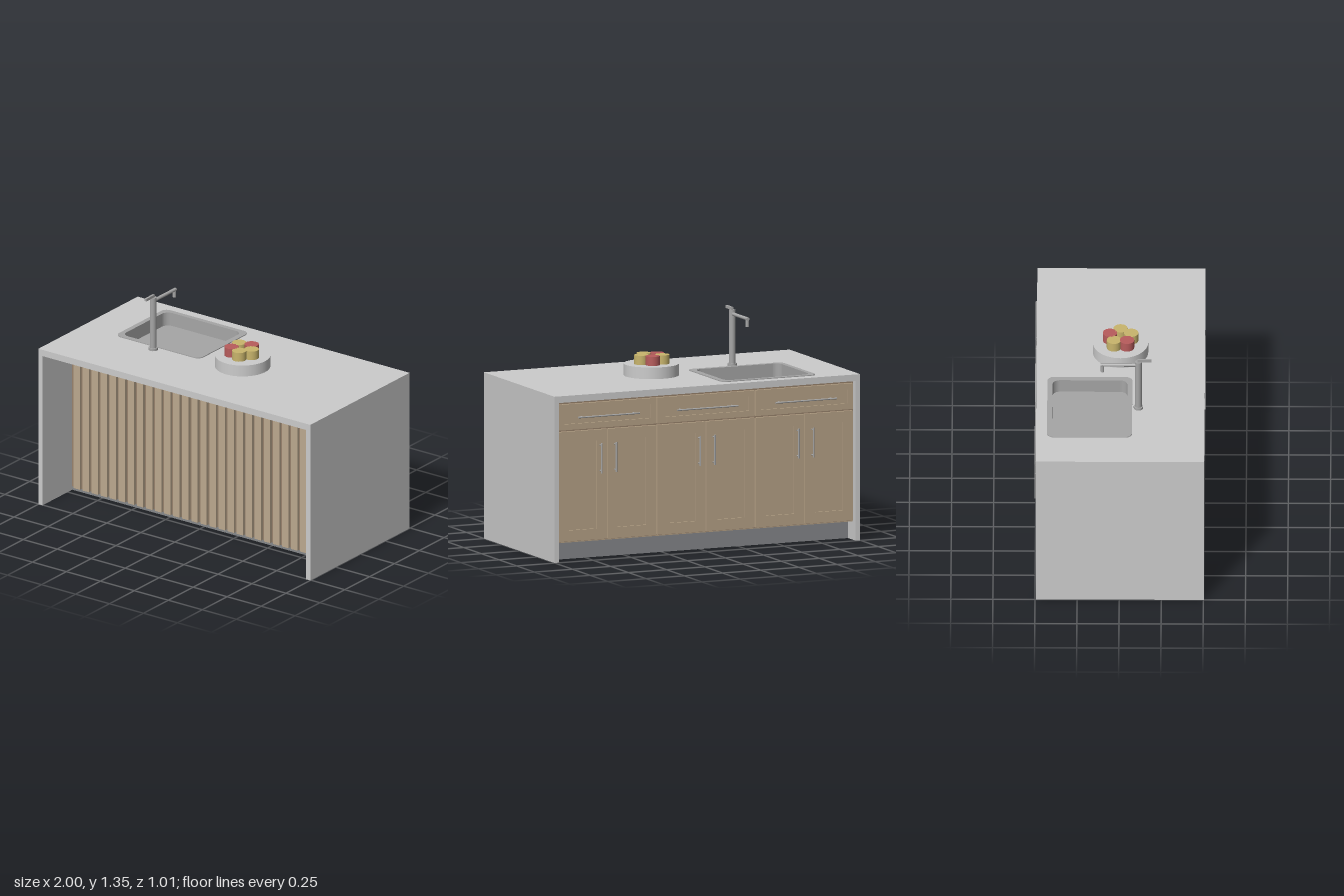
import * as THREE from 'three';

const mat = (color) => new THREE.MeshStandardMaterial({ color });
const stone = mat(0xcccccc), steel = mat(0xa6a6a6), plinthGrey = mat(0x85878a);
const slatWood = mat(0xbca98f), backWood = mat(0x98826c), doorWood = mat(0xb5a186);
const red = mat(0xb85c5c), yellow = mat(0xc9b56c);

function add(parent, name, geometry, material, x = 0, y = 0, z = 0) {
  const mesh = new THREE.Mesh(geometry, material);
  mesh.name = name;
  mesh.position.set(x, y, z);
  parent.add(mesh);
  return mesh;
}

// Box given by its lower and upper limits on each axis
function slab(parent, name, material, x0, x1, y0, y1, z0, z1) {
  return add(parent, name, new THREE.BoxGeometry(x1 - x0, y1 - y0, z1 - z0), material,
    (x0 + x1) / 2, (y0 + y1) / 2, (z0 + z1) / 2);
}

// Cylinder between two points
function rod(parent, name, a, b, radius, material, sides = 24) {
  const from = new THREE.Vector3(...a), to = new THREE.Vector3(...b);
  const dir = to.clone().sub(from);
  const mesh = add(parent, name, new THREE.CylinderGeometry(radius, radius, dir.length(), sides), material);
  mesh.position.copy(from).add(to).multiplyScalar(0.5);
  mesh.quaternion.setFromUnitVectors(new THREE.Vector3(0, 1, 0), dir.normalize());
  return mesh;
}

// Rectangle outline with rounded corners
function outline(x0, x1, y0, y1, r = 0, PathType = THREE.Shape) {
  const p = new PathType();
  if (!r) {
    p.moveTo(x0, y0).lineTo(x1, y0).lineTo(x1, y1).lineTo(x0, y1);
  } else {
    p.absarc(x1 - r, y0 + r, r, -Math.PI / 2, 0);
    p.absarc(x1 - r, y1 - r, r, 0, Math.PI / 2);
    p.absarc(x0 + r, y1 - r, r, Math.PI / 2, Math.PI);
    p.absarc(x0 + r, y0 + r, r, Math.PI, Math.PI * 1.5);
  }
  p.closePath();
  return p;
}

// Horizontal plate hanging down from height top, with an optional opening
function plate(parent, name, material, shape, hole, top, depth) {
  if (hole) shape.holes.push(hole);
  const g = new THREE.ExtrudeGeometry(shape, { depth, bevelEnabled: false, curveSegments: 8 });
  g.rotateX(Math.PI / 2);
  return add(parent, name, g, material, 0, top, 0);
}

// Framed front facing -z with a sunken centre panel
function framedFront(parent, name, x0, x1, y0, y1, margin) {
  const g = new THREE.Group();
  g.name = name;
  const frame = outline(x0, x1, y0, y1);
  frame.holes.push(outline(x0 + margin, x1 - margin, y0 + margin, y1 - margin, 0, THREE.Path));
  add(g, 'frame', new THREE.ExtrudeGeometry(frame, { depth: 0.02, bevelEnabled: false }), doorWood, 0, 0, -0.475);
  slab(g, 'insetPanel', doorWood, x0 + margin, x1 - margin, y0 + margin, y1 - margin, -0.465, -0.455);
  parent.add(g);
}

// Bar handle on two posts
function handle(parent, name, x, y, dx, dy) {
  const g = new THREE.Group();
  g.name = name;
  rod(g, 'bar', [x - dx, y - dy, -0.5], [x + dx, y + dy, -0.5], 0.005, steel, 12);
  for (const s of [-0.85, 0.85]) {
    rod(g, 'post', [x + s * dx, y + s * dy, -0.5], [x + s * dx, y + s * dy, -0.47], 0.004, steel, 12);
  }
  parent.add(g);
}

export function createModel() {
  const model = new THREE.Group();
  model.name = 'kitchenIsland';

  // Worktop with sink opening, and full-height end panels
  plate(model, 'worktop', stone, outline(-1, 1, -0.495, 0.505),
    outline(-0.725, -0.16, -0.405, 0.05, 0.05, THREE.Path), 1, 0.04);
  for (const s of [-1, 1]) {
    slab(model, 'endPanel', stone, s * 0.985 - 0.015, s * 0.985 + 0.015, 0, 0.96, -0.495, 0.505);
  }

  // Plinth, cabinet floor and carcass back
  slab(model, 'plinth', plinthGrey, -0.97, 0.97, 0, 0.12, -0.39, 0.205);
  slab(model, 'cabinetFloor', doorWood, -0.97, 0.97, 0.11, 0.13, -0.455, 0.19);
  slab(model, 'carcassFace', backWood, -0.97, 0.97, 0.115, 0.96, -0.457, -0.44);

  // Slatted front under the overhang
  slab(model, 'slatBacking', backWood, -0.97, 0.97, 0.025, 0.955, 0.19, 0.21);
  const slats = new THREE.Group();
  slats.name = 'slats';
  for (let i = 0; i < 28; i++) {
    const x = -0.945 + i * 0.0667;
    slab(slats, 'slat', slatWood, x, x + 0.047, 0.025, 0.955, 0.21, 0.228);
  }
  model.add(slats);

  // Three cabinet units: one drawer above two doors
  for (const cx of [-0.645, 0, 0.645]) {
    const unit = new THREE.Group();
    unit.name = 'cabinetUnit';
    framedFront(unit, 'drawer', cx - 0.318, cx + 0.318, 0.79, 0.945, 0.035);
    handle(unit, 'drawerHandle', cx, 0.865, 0.2, 0);
    framedFront(unit, 'door', cx - 0.318, cx - 0.003, 0.12, 0.78, 0.065);
    framedFront(unit, 'door', cx + 0.003, cx + 0.318, 0.12, 0.78, 0.065);
    for (const s of [-1, 1]) handle(unit, 'doorHandle', cx + s * 0.048, 0.61, 0, 0.09);
    model.add(unit);
  }

  // Sink: rim, walls and floor
  const sink = new THREE.Group();
  sink.name = 'sink';
  const opening = () => outline(-0.72, -0.165, -0.4, 0.045, 0.045, THREE.Path);
  plate(sink, 'sinkRim', steel, outline(-0.75, -0.13, -0.43, 0.075, 0.04), opening(), 1.005, 0.006);
  plate(sink, 'sinkWalls', steel, outline(-0.725, -0.16, -0.405, 0.05, 0.05), opening(), 1.002, 0.085);
  plate(sink, 'sinkFloor', steel, outline(-0.725, -0.16, -0.405, 0.05, 0.05), null, 0.922, 0.008);
  model.add(sink);

  // Tap
  const tap = new THREE.Group();
  tap.name = 'tap';
  const x = -0.443, z = 0.112;
  rod(tap, 'tapBase', [x, 1, z], [x, 1.015, z], 0.028, steel);
  rod(tap, 'tapColumn', [x, 1, z], [x, 1.336, z], 0.02, steel);
  rod(tap, 'spout', [x, 1.312, z], [x, 1.312, -0.112], 0.0105, steel);
  rod(tap, 'spoutTip', [x, 1.318, -0.102], [x, 1.265, -0.102], 0.01, steel);
  slab(tap, 'tapLever', steel, x - 0.007, x + 0.007, 1.336, 1.352, 0.105, 0.19);
  model.add(tap);

  // Round dish with a ring of fruit
  const dish = new THREE.Group();
  dish.name = 'fruitDish';
  dish.position.set(0.136, 1, 0.003);
  add(dish, 'dish', new THREE.CylinderGeometry(0.165, 0.165, 0.07, 48), stone, 0, 0.035, 0);
  [yellow, yellow, red, yellow, red].forEach((m, i) => {
    const a = i * Math.PI * 0.4;
    add(dish, 'fruit', new THREE.CylinderGeometry(0.043, 0.043, 0.06, 24), m,
      0.066 * Math.cos(a), 0.095, 0.066 * Math.sin(a));
  });
  model.add(dish);

  return model;
}
